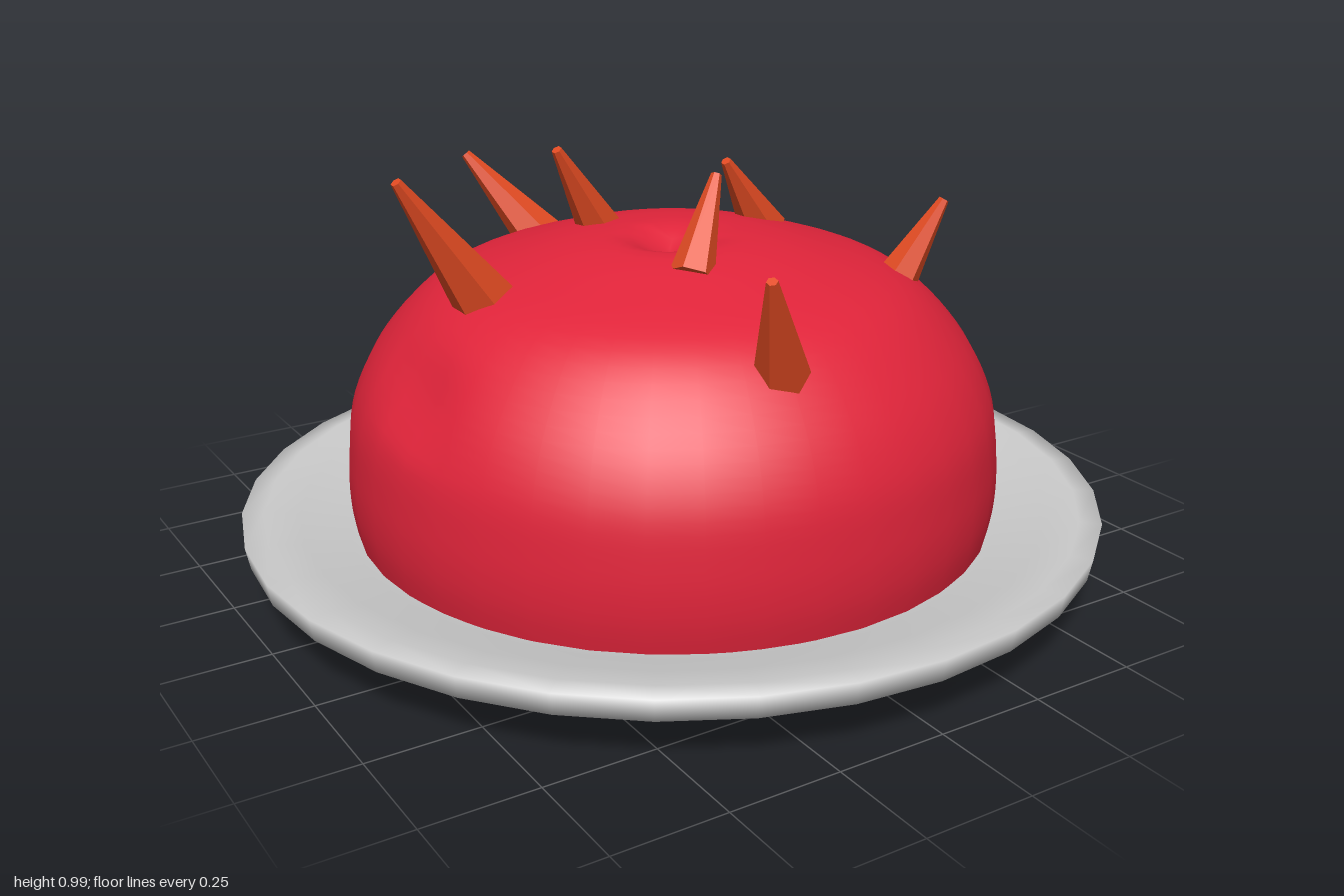
import * as THREE from 'three';
import { mergeVertices } from 'three/addons/utils/BufferGeometryUtils.js';

const points = (list) => list.map(([r, y]) => new THREE.Vector2(r, y));

// Pushes the vertices near each dent inwards along a soft falloff
function addDents(geometry, dents) {
  const pos = geometry.attributes.position;
  const v = new THREE.Vector3();
  for (let i = 0; i < pos.count; i++) {
    v.fromBufferAttribute(pos, i);
    for (const { at, radius, push } of dents) {
      const k = 1 - v.distanceTo(at) / radius;
      if (k > 0) v.addScaledVector(push, k);
    }
    pos.setXYZ(i, v.x, v.y, v.z);
  }
}

// Blunt six-sided spike from a point on the dome to its tip
function makeSpike(base, tip, radius, material) {
  const from = new THREE.Vector3(...base);
  const to = new THREE.Vector3(...tip);
  const dir = to.clone().sub(from).normalize();
  from.addScaledVector(dir, -0.02);
  const length = from.distanceTo(to);
  const spike = new THREE.Mesh(new THREE.CylinderGeometry(0.012, radius, length, 6), material);
  spike.position.copy(from).add(to).multiplyScalar(0.5);
  spike.quaternion.setFromUnitVectors(new THREE.Vector3(0, 1, 0), dir);
  return spike;
}

export function createModel() {
  const model = new THREE.Group();
  const grey = new THREE.MeshStandardMaterial({ color: 0xcccccc });
  const red = new THREE.MeshStandardMaterial({ color: 0xe0243a });
  const orange = new THREE.MeshStandardMaterial({ color: 0xe04a22, flatShading: true });

  // Shallow plate with a rolled rim
  const plate = new THREE.Mesh(new THREE.LatheGeometry(points([
    [0, 0], [0.735, 0], [0.82, 0.06], [0.99, 0.112], [1, 0.163],
    [0.95, 0.165], [0.87, 0.15], [0.76, 0.115], [0.62, 0.08], [0, 0.08],
  ]), 32), grey);
  plate.name = 'plate';
  model.add(plate);

  // Squat dome, slightly off centre, with two small dents
  const profile = new THREE.SplineCurve(points([
    [0.74, 0.08], [0.757, 0.18], [0.757, 0.29], [0.737, 0.42], [0.67, 0.55],
    [0.545, 0.675], [0.37, 0.742], [0.19, 0.785], [0, 0.79],
  ])).getPoints(40);
  profile[profile.length - 1].x = 0;
  let domeGeometry = new THREE.LatheGeometry(profile, 40);
  domeGeometry.deleteAttribute('uv');
  domeGeometry.deleteAttribute('normal');
  domeGeometry = mergeVertices(domeGeometry, 1e-4);
  addDents(domeGeometry, [
    { at: new THREE.Vector3(-0.04, 0.79, 0.05), radius: 0.11, push: new THREE.Vector3(0, -0.06, 0) },
    { at: new THREE.Vector3(-0.68, 0.53, 0.07), radius: 0.13, push: new THREE.Vector3(0.03, -0.02, 0) },
  ]);
  domeGeometry.computeVertexNormals();
  const dome = new THREE.Mesh(domeGeometry, red);
  dome.name = 'dome';
  dome.position.set(0.012, 0, -0.014);
  model.add(dome);

  // Spikes: base, tip, base radius
  const spikes = new THREE.Group();
  spikes.name = 'spikes';
  [
    [[-0.46, 0.69, -0.025], [-0.665, 0.985, 0.005], 0.075],
    [[-0.08, 0.77, -0.195], [-0.205, 0.97, -0.16], 0.055],
    [[-0.08, 0.77, 0.22], [0.025, 0.945, 0.145], 0.05],
    [[0.3, 0.75, -0.08], [0.18, 0.92, -0.05], 0.057],
    [[0.48, 0.69, 0.245], [0.57, 0.845, 0.27], 0.048],
    [[-0.09, 0.64, 0.56], [-0.18, 0.86, 0.65], 0.06],
    [[-0.03, 0.64, -0.57], [-0.18, 0.86, -0.695], 0.068],
  ].forEach(([base, tip, radius], i) => {
    const spike = makeSpike(base, tip, radius, orange);
    spike.name = `spike${i + 1}`;
    spikes.add(spike);
  });
  model.add(spikes);
  return model;
}
